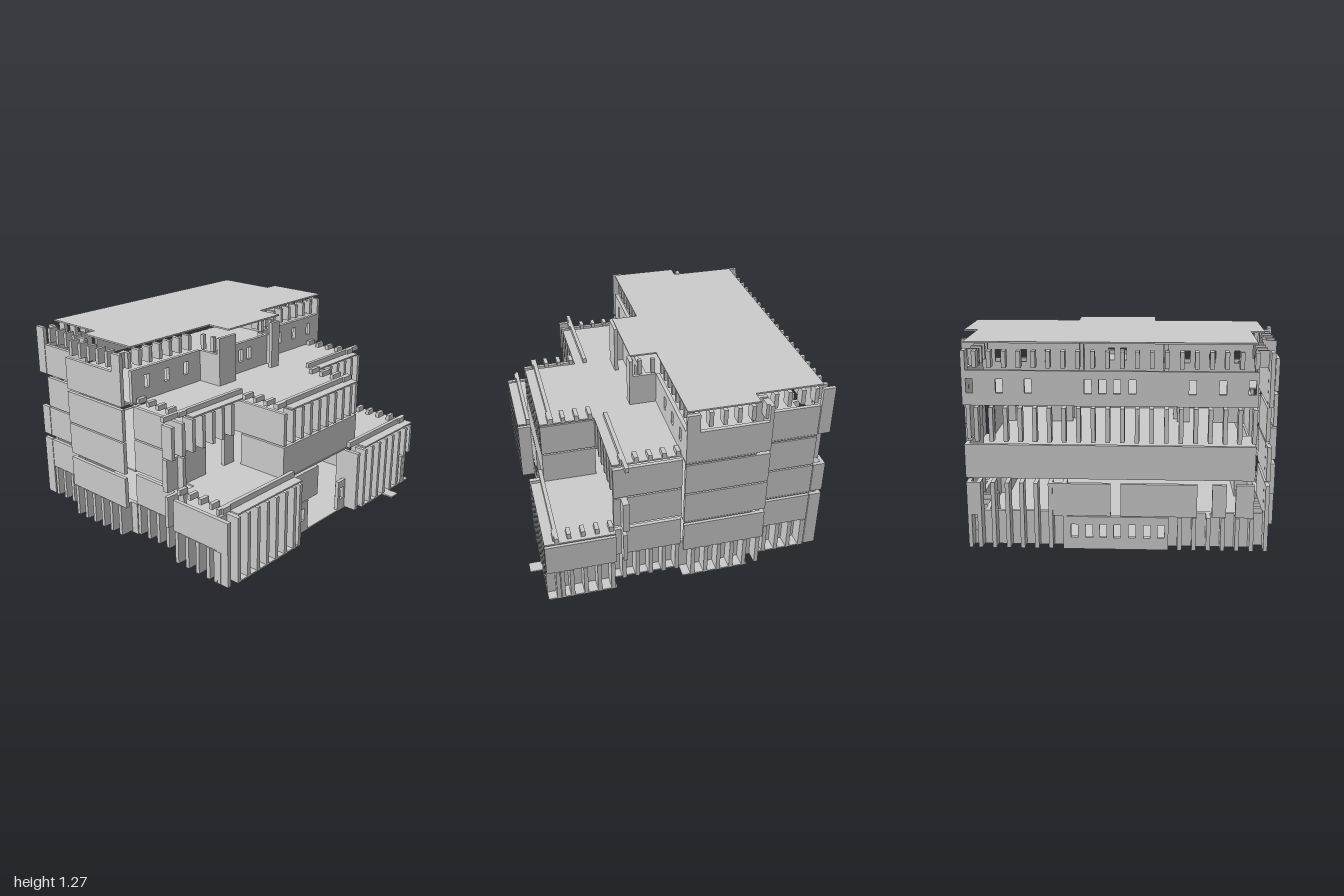
import * as THREE from 'three';

const mat = new THREE.MeshStandardMaterial({ color: 0xcccccc, flatShading: true });
const T = 0.025; // panel thickness
const PITCH = 0.0868; // fin spacing

export function createModel() {
  const root = new THREE.Group();
  root.name = 'terracedBuilding';

  function box(name, x0, x1, y0, y1, z0, z1) {
    const m = new THREE.Mesh(new THREE.BoxGeometry(x1 - x0, y1 - y0, z1 - z0), mat);
    m.position.set((x0 + x1) / 2, (y0 + y1) / 2, (z0 + z1) / 2);
    m.name = name;
    root.add(m);
  }
  function extrude(name, shape, depth) {
    const m = new THREE.Mesh(new THREE.ExtrudeGeometry(shape, { depth, bevelEnabled: false }), mat);
    m.name = name;
    root.add(m);
    return m;
  }
  // flat slab from an x,z outline
  function slab(name, pts, y0, y1) {
    const shape = new THREE.Shape(pts.map(([x, z]) => new THREE.Vector2(x, -z)));
    const m = extrude(name, shape, y1 - y0);
    m.rotation.x = -Math.PI / 2;
    m.position.y = y0;
  }
  // wall along x with small windows
  function wall(name, x0, x1, y0, y1, z0, windows = []) {
    const s = new THREE.Shape();
    s.moveTo(x0, y0).lineTo(x1, y0).lineTo(x1, y1).lineTo(x0, y1).closePath();
    for (const w of windows) {
      if (w - 0.03 < x0 || w + 0.03 > x1) continue;
      const a = w - 0.021, b = w + 0.021, c = y0 + 0.075, d = y0 + 0.16;
      const h = new THREE.Path();
      h.moveTo(a, c).lineTo(a, d).lineTo(b, d).lineTo(b, c).closePath();
      s.holes.push(h);
    }
    extrude(name, s, T).position.z = z0;
  }
  // rows of fins on one shared grid
  function finsX(name, x0, x1, y0, y1, z0, z1) {
    for (let x = -0.985; x < 1; x += PITCH)
      if (x > x0 && x < x1) box(name, x - 0.013, x + 0.013, y0, y1, z0, z1);
  }
  function finsZ(name, z0, z1, y0, y1, x0, x1) {
    for (let z = 0.02 - 11 * PITCH; z < 0.87; z += PITCH)
      if (z > z0 && z < z1) box(name, x0, x1, y0, y1, z - 0.013, z + 0.013);
  }

  // floors and roof
  const back = [[-0.91, 0], [-0.91, -0.44], [-0.82, -0.44], [-0.82, -0.87], [0.91, -0.87],
    [0.91, -0.44], [1, -0.44], [1, 0]];
  const mid = [[-0.82, 0.43], [-0.82, 0], ...back, [0.91, 0], [0.91, 0.43]];
  const full = [[-0.31, 0.78], [-0.31, 0.87], [-0.91, 0.87], [-0.91, 0.43], ...mid,
    [1, 0.43], [1, 0.87], [0.39, 0.87], [0.39, 0.78]];
  slab('groundFloor', full, 0, 0.01);
  slab('firstFloor', full, 0.448, 0.458);
  slab('secondFloor', [[-0.31, 0.78], [-0.31, 0.43], ...mid, [0.39, 0.43], [0.39, 0.78]], 0.898, 0.908);
  slab('roof', [[-0.22, 0.17], [-0.22, 0], ...back, [0.3, 0], [0.3, 0.17]], 1.265, 1.275);
  box('entranceStep', 0.65, 0.73, 0, 0.01, 0.87, 0.95);

  // stepped side walls: [zBack, zFront, outer x on the right side, outer x on the left side, storeys]
  const steps = [[-0.87, -0.52, 0.91, 0.91, 3], [-0.53, 0, 1, 1, 3],
    [0, 0.43, 0.91, 0.935, 2], [0.43, 0.87, 1, 1, 1]];
  for (const s of [-1, 1]) {
    for (const [z0, z1, xRight, xLeft, n] of steps) {
      const xo = s > 0 ? xLeft : xRight;
      const X = (a, b) => (s > 0 ? [a, b] : [-b, -a]);
      const side = (name, y0, y1, za = z0, zb = z1) => {
        const [a, b] = X(xo - T, xo);
        box(name, a, b, y0, y1, za, zb);
      };
      const fin = (name, y0, y1) => finsZ(name, z0, z1, y0, y1, ...X(xo - 0.09, xo - (y0 < 0.1 ? 0 : T)));
      // ground storey: fins below, panel above
      fin('groundSideFin', 0.01, 0.22);
      side('groundSidePanel', 0.225, 0.43);
      if (n > 1) {
        side('firstLowerSidePanel', 0.46, 0.67);
        side('firstUpperSidePanel', 0.68, 0.89);
      } else {
        fin('terraceBlock', 0.458, 0.495);
      }
      const [wa, wb] = X(xo - 0.09 - T, xo - 0.09);
      box('groundSideWall', wa, wb, 0.01, 0.22, z0, z1);
      if (n === 2) fin('terraceBlock', 0.908, 0.94);
      // top storey: panel below, fins above
      if (n === 3) {
        side('secondSidePanel', 0.91, 1.12);
        fin('secondSideFin', 1.13, 1.23);
        const zc = z1 === 0 ? 0 : -0.44;
        side('cornerPanel', 0.91, 1.24, zc - 0.08, zc);
      }
    }
    // cross panels closing the steps
    const [a, b] = s > 0 ? [0.91, 1] : [-1, -0.91];
    const heights = [[0.225, 0.43], [0.46, 0.67]];
    for (const [y0, y1] of heights) box('stepPanel', a, b, y0, y1, 0.36, 0.385);
    if (s > 0) heights.push([0.68, 0.89], [0.91, 1.23]);
    for (const [y0, y1] of heights) box('stepPanel', a, b, y0, y1, -0.53, -0.505);
    // projecting rear corner panels
    for (const [y0, y1] of [[0.01, 0.43], [0.46, 0.67], [0.91, 1.235]])
      box('rearCornerPanel', ...(s > 0 ? [0.885, 0.91] : [-0.91, -0.885]), y0, y1, -0.955, -0.875);
  }

  // rear facade
  const topWin = [-0.785, -0.615, -0.44, 0, 0.085, 0.52, 0.69, 0.865];
  const midWin = [-0.265, -0.18, -0.09, 0, 0.085, 0.17, 0.26];
  wall('rearGroundWindowPanel', -0.31, 0.31, 0.01, 0.22, -0.955, midWin);
  wall('rearGroundWallRight', -0.82, -0.31, 0.01, 0.22, -0.87);
  wall('rearGroundWallLeft', 0.31, 0.91, 0.01, 0.22, -0.87, [0.865]);
  finsX('rearGroundFin', -0.83, -0.31, 0.01, 0.22, -0.955, -0.87);
  finsX('rearGroundFin', 0.31, 0.9, 0.01, 0.43, -0.955, -0.87);
  for (const [a, b] of [[-0.82, -0.71], [-0.655, -0.57], [-0.48, -0.02], [0.04, 0.39], [0.84, 0.91]])
    wall('rearGroundUpperPanel', a, b, 0.225, 0.43, -0.955);
  wall('rearFirstBand', -0.82, 0.91, 0.46, 0.67, -0.955);
  finsX('rearFirstFin', -0.83, 0.9, 0.68, 0.89, -0.93, -0.87);
  wall('rearSecondWall', -0.82, 0.91, 0.91, 1.12, -0.955, [...topWin, -0.09, 0.17]);
  finsX('rearSecondFin', -0.83, 0.9, 1.13, 1.23, -0.93, -0.87);

  // ground storey front: two wings and the entrance between them
  for (const [a, b] of [[-1, -0.31], [0.3, 1]]) {
    finsX('frontGroundFin', a, b, 0.01, 0.43, 0.785, 0.87);
    wall('frontGroundWall', a, b, 0.01, 0.22, 0.76);
    box('terraceRail', a, b, 0.458, 0.495, 0.78, 0.805);
  }
  wall('frontGroundUpperPanel', -0.97, -0.71, 0.225, 0.43, 0.76);
  wall('entranceWindowPanel', -0.31, -0.12, 0.01, 0.22, 0.755, midWin);
  wall('entranceUpperPanel', -0.31, -0.02, 0.225, 0.43, 0.755);
  wall('entranceSidePanel', 0.22, 0.31, 0.01, 0.22, 0.755, midWin);
  wall('entranceInnerPanel', 0.04, 0.22, 0.225, 0.43, 0.43);
  wall('lobbyPanel', -0.31, -0.13, 0.01, 0.22, 0.43);
  wall('lobbyPanel', 0.22, 0.31, 0.01, 0.22, 0.43);
  box('entranceReturn', -0.335, -0.31, 0.01, 0.43, 0.7, 0.87);
  box('entranceReturn', 0.3, 0.325, 0.01, 0.43, 0.7, 0.87);

  // first storey front: recessed wings with terrace openings, and the central bay
  for (const [a, b] of [[-1, -0.65], [-0.48, -0.39], [0.39, 0.56], [0.82, 1]])
    wall('frontFirstWall', a, b, 0.46, 0.67, 0.345);
  for (const [a, b] of [[-1, -0.31], [0.39, 1]]) {
    finsX('frontFirstFin', a, b, 0.68, 0.89, 0.345, 0.43);
    box('upperTerraceRail', a, b, 0.908, 0.94, 0.345, 0.37);
  }
  wall('bayBand', -0.39, 0.39, 0.46, 0.67, 0.755);
  finsX('bayFin', -0.4, 0.4, 0.68, 0.89, 0.7, 0.78);
  box('bayRail', -0.39, 0.39, 0.908, 0.94, 0.692, 0.718);
  for (const [a, b, o] of [[-0.39, -0.31, -0.39], [0.3, 0.39, 0.365]]) {
    box('baySidePanel', o, o + T, 0.46, 0.67, 0.43, 0.755);
    box('bayUpperSidePanel', o, o + T, 0.68, 0.89, 0.43, 0.78);
    finsZ('bayTerraceBlock', 0.43, 0.755, 0.908, 0.94, a, b);
  }

  // second storey front with its open porch
  for (const [a, b] of [[-0.91, -0.31], [0.3, 1]]) {
    wall('frontSecondWall', a, b, 0.91, 1.12, -T, topWin);
    finsX('frontSecondFin', a, b, 1.13, 1.23, -0.09, -T);
  }
  wall('porchWall', -0.28, 0.275, 0.91, 1.12, 0.06, topWin);
  for (const x of [-0.31, 0.275]) {
    box('porchSidePanel', x, x + T, 0.91, 1.12, 0, 0.175);
    finsZ('porchSideFin', 0, 0.15, 1.13, 1.23, x, x + T);
  }
  box('porchFrontPanel', -0.31, -0.15, 0.91, 1.23, 0.15, 0.175);
  box('porchFrontPanel', 0.22, 0.3, 0.91, 1.23, 0.15, 0.175);

  return root;
}
